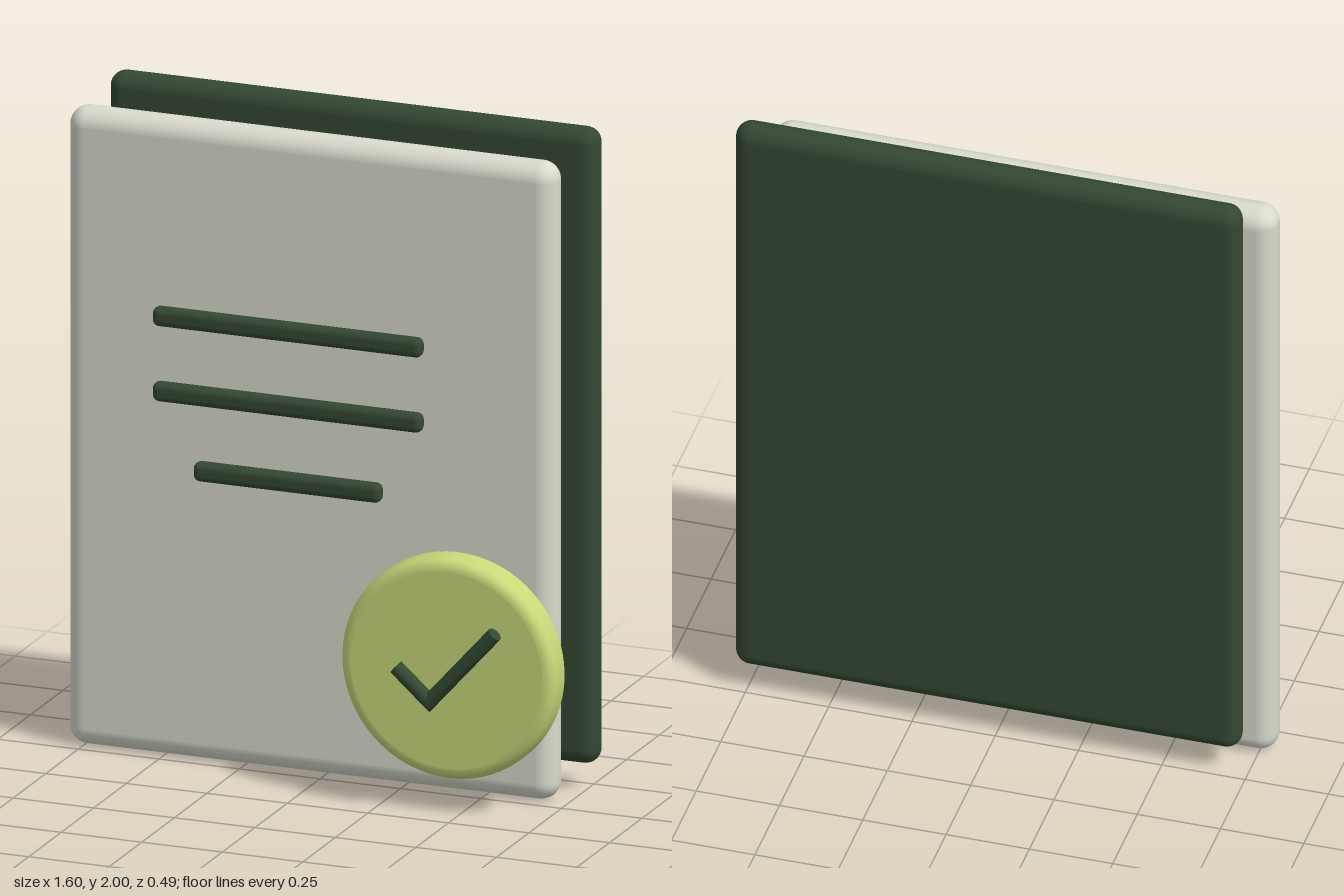
import * as THREE from 'three';
import { toCreasedNormals } from 'three/addons/utils/BufferGeometryUtils.js';
import { RoundedBoxGeometry } from 'three/addons/geometries/RoundedBoxGeometry.js';

const material = (name, color) => {
  const m = new THREE.MeshStandardMaterial({ color });
  m.name = name;
  return m;
};

// Rounded slab given by its limits on each axis
function slab(name, mat, [x0, x1], [y0, y1], [z0, z1], radius) {
  const geo = new RoundedBoxGeometry(x1 - x0, y1 - y0, z1 - z0, 6, radius);
  const mesh = new THREE.Mesh(geo, mat);
  mesh.position.set((x0 + x1) / 2, (y0 + y1) / 2, (z0 + z1) / 2);
  mesh.name = name;
  return mesh;
}

// Round bar along a flat path, with mitred bends and flat capped ends
function mitredBar(points, halfWidth, halfDepth, sides = 16) {
  const pts = points.map(([x, y]) => new THREE.Vector2(x, y));
  const normals = pts.slice(1).map((p, i) => {
    const d = p.clone().sub(pts[i]).normalize();
    return new THREE.Vector2(-d.y, d.x);
  });
  const pos = [], idx = [], last = pts.length - 1;
  pts.forEach((p, i) => {
    const a = normals[Math.max(i - 1, 0)], b = normals[Math.min(i, last - 1)];
    const n = a.clone().add(b).divideScalar(1 + a.dot(b));
    for (let j = 0; j < sides; j++) {
      const t = (j / sides) * Math.PI * 2, w = Math.cos(t) * halfWidth;
      pos.push(p.x + n.x * w, p.y + n.y * w, Math.sin(t) * halfDepth);
    }
  });
  const start = pos.length / 3, end = start + 1;
  pos.push(pts[0].x, pts[0].y, 0, pts[last].x, pts[last].y, 0);
  for (let j = 0; j < sides; j++) {
    const k = (j + 1) % sides;
    for (let i = 0; i < last; i++) {
      const r = i * sides, s = r + sides;
      idx.push(r + j, r + k, s + k, r + j, s + k, s + j);
    }
    idx.push(start, k, j, end, last * sides + j, last * sides + k);
  }
  const geo = new THREE.BufferGeometry();
  geo.setAttribute('position', new THREE.Float32BufferAttribute(pos, 3));
  geo.setIndex(idx);
  return toCreasedNormals(geo, 0.6);
}

// Disc with rounded rims, turned to face the front
function roundedDisc(radius, depth, bevel) {
  const h = depth / 2, profile = [new THREE.Vector2(0, -h), new THREE.Vector2(radius - bevel - 0.002, -h)];
  for (const [side, from] of [[-1, -Math.PI / 2], [1, 0]]) {
    for (let i = 0; i <= 6; i++) {
      const a = from + (i / 6) * (Math.PI / 2);
      profile.push(new THREE.Vector2(radius - bevel + Math.cos(a) * bevel, side * (h - bevel) + Math.sin(a) * bevel));
    }
  }
  profile.push(new THREE.Vector2(radius - bevel - 0.002, h), new THREE.Vector2(0, h));
  return new THREE.LatheGeometry(profile, 64).rotateX(Math.PI / 2);
}

export function createModel() {
  const paper = material('pale grey paper', 0xd9dbcd);
  const dark = material('dark green', 0x344833);
  const lime = material('lime green', 0xc8d97a);
  const model = new THREE.Group();
  model.name = 'approvedDocument';

  // Sheets
  model.add(slab('backSheet', dark, [-0.727, 0.79], [0.08, 2], [-0.247, -0.155], 0.046));
  model.add(slab('frontSheet', paper, [-0.8, 0.715], [0, 1.925], [-0.129, -0.017], 0.056));

  // Text lines
  const lines = [[-0.51, 0.325, 1.344], [-0.51, 0.325, 1.117], [-0.383, 0.198, 0.89]];
  lines.forEach(([x0, x1, y], i) => {
    model.add(slab(`textLine${i + 1}`, dark, [x0, x1], [y - 0.029, y + 0.029], [-0.01, 0.037], 0.02));
  });

  // Badge with check mark
  const badge = new THREE.Mesh(roundedDisc(0.334, 0.112, 0.035), lime);
  badge.name = 'badge';
  badge.position.set(0.463, 0.434, 0.119);
  const check = new THREE.Mesh(mitredBar([[0.325, 0.442], [0.429, 0.35], [0.632, 0.577]], 0.022, 0.0235), dark);
  check.name = 'checkMark';
  check.position.z = 0.22;
  model.add(badge, check);
  return model;
}
